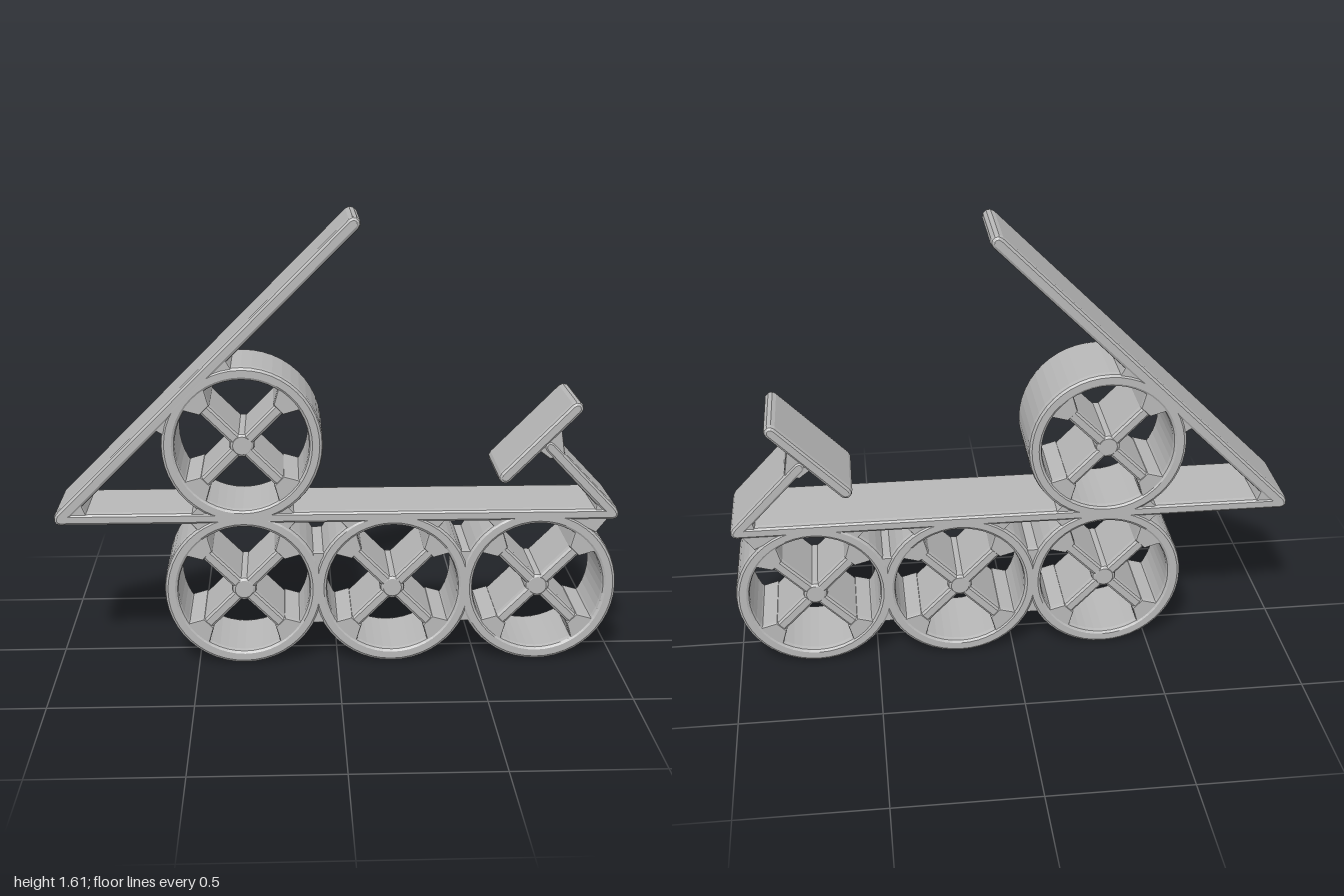
import * as THREE from 'three';

const grey = new THREE.MeshStandardMaterial({ color: 0xb8b8b8, flatShading: true });
grey.name = 'plain grey';

// Extrude an outline along z, centred, with softened edges
function slab(name, shape, depth = 0.304, bevel = 0.012) {
  const geo = new THREE.ExtrudeGeometry(shape, {
    depth: depth - 0.04, curveSegments: 24, bevelEnabled: true,
    bevelThickness: 0.02, bevelSize: bevel, bevelOffset: -bevel, bevelSegments: 2,
  });
  geo.translate(0, 0, -(depth - 0.04) / 2);
  const mesh = new THREE.Mesh(geo, grey);
  mesh.name = name;
  return mesh;
}

// Plank with rounded ends between two points
function plank(name, ax, ay, bx, by, thick, depth) {
  const r = thick / 2, a = Math.atan2(by - ay, bx - ax), pts = [];
  for (let i = 0; i <= 5; i++) {
    const t = a - Math.PI / 2 + (i / 5) * Math.PI;
    pts.push(new THREE.Vector2(bx + r * Math.cos(t), by + r * Math.sin(t)));
  }
  for (let i = 0; i <= 5; i++) {
    const t = a + Math.PI / 2 + (i / 5) * Math.PI;
    pts.push(new THREE.Vector2(ax + r * Math.cos(t), ay + r * Math.sin(t)));
  }
  return slab(name, new THREE.Shape(pts), depth, thick * 0.24);
}

// Small web filling a corner
function web(name, points) {
  return slab(name, new THREE.Shape(points.map(([x, y]) => new THREE.Vector2(x, y))), 0.296, 0.004);
}

// Open drum with crossed spokes; side tells which way its deck lies
function wheel(name, x, y, side) {
  const g = new THREE.Group();
  g.name = name;
  const ring = new THREE.Shape().absarc(0, 0, 0.283, 0, Math.PI * 2);
  ring.holes.push(new THREE.Path().absarc(0, 0, 0.234, 0, Math.PI * 2, true));
  g.add(slab('rim', ring));
  const e = 0.178;
  g.add(plank('spoke', -e, -e, e, e, 0.046, 0.29));
  g.add(plank('spoke', -e, e, e, -e, 0.046, 0.29));
  // Hub and thickened spoke roots
  g.add(slab('hub', new THREE.Shape().absarc(0, 0, 0.044, 0, Math.PI * 2), 0.292));
  for (let i = 0; i < 4; i++) {
    const root = web('spokeRoot', [[0.18, -0.025], [0.245, -0.06], [0.245, 0.06], [0.18, 0.025]]);
    root.rotation.z = Math.PI / 4 + i * Math.PI / 2;
    g.add(root);
  }
  // Fillets where the rim meets the deck
  for (const s of [-1, 1]) {
    g.add(web('deckFillet', [[s * 0.06, side * 0.255], [s * 0.19, side * 0.255], [s * 0.16, side * 0.22]]));
  }
  g.position.set(x, y, 0);
  return g;
}

export function createModel() {
  const model = new THREE.Group();
  model.name = 'wheeledCart';

  // Wheels
  const xs = [-0.335, 0.195, 0.717];
  xs.forEach((x, i) => model.add(wheel('lowerWheel' + (i + 1), x, 0.283, 1)));
  model.add(wheel('upperWheel', -0.335, 0.815, -1));

  // Webs joining neighbouring wheels
  for (const x of [-0.07, 0.456]) {
    model.add(web('wheelJoint', [[x - 0.022, 0.15], [x + 0.022, 0.15], [x + 0.022, 0.42], [x - 0.022, 0.42]]));
  }

  // Deck and long sloping board
  model.add(plank('deck', -0.978, 0.551, 0.978, 0.551, 0.044));
  model.add(plank('slopingBoard', -0.975, 0.556, 0.052, 1.585, 0.05));
  model.add(web('boardFilletTop', [[-0.45, 1.07], [-0.39, 1.13], [-0.36, 1.08], [-0.4, 1.06]]));
  model.add(web('boardFilletBottom', [[-0.65, 0.88], [-0.6, 0.93], [-0.58, 0.87], [-0.6, 0.85]]));
  model.add(web('boardCorner', [[-0.97, 0.55], [-0.88, 0.56], [-0.9, 0.61]]));

  // Short seat on a slanted strut
  model.add(plank('strut', 0.975, 0.556, 0.745, 0.8, 0.046));
  model.add(plank('seat', 0.59, 0.69, 0.835, 0.938, 0.048));
  model.add(web('seatFillet', [[0.7, 0.79], [0.745, 0.755], [0.8, 0.765], [0.785, 0.865]]));
  model.add(web('strutCorner', [[0.97, 0.55], [0.91, 0.565], [0.92, 0.6]]));
  model.add(web('rearFillet', [[0.88, 0.54], [0.965, 0.54], [0.92, 0.48], [0.86, 0.51]]));

  return model;
}
